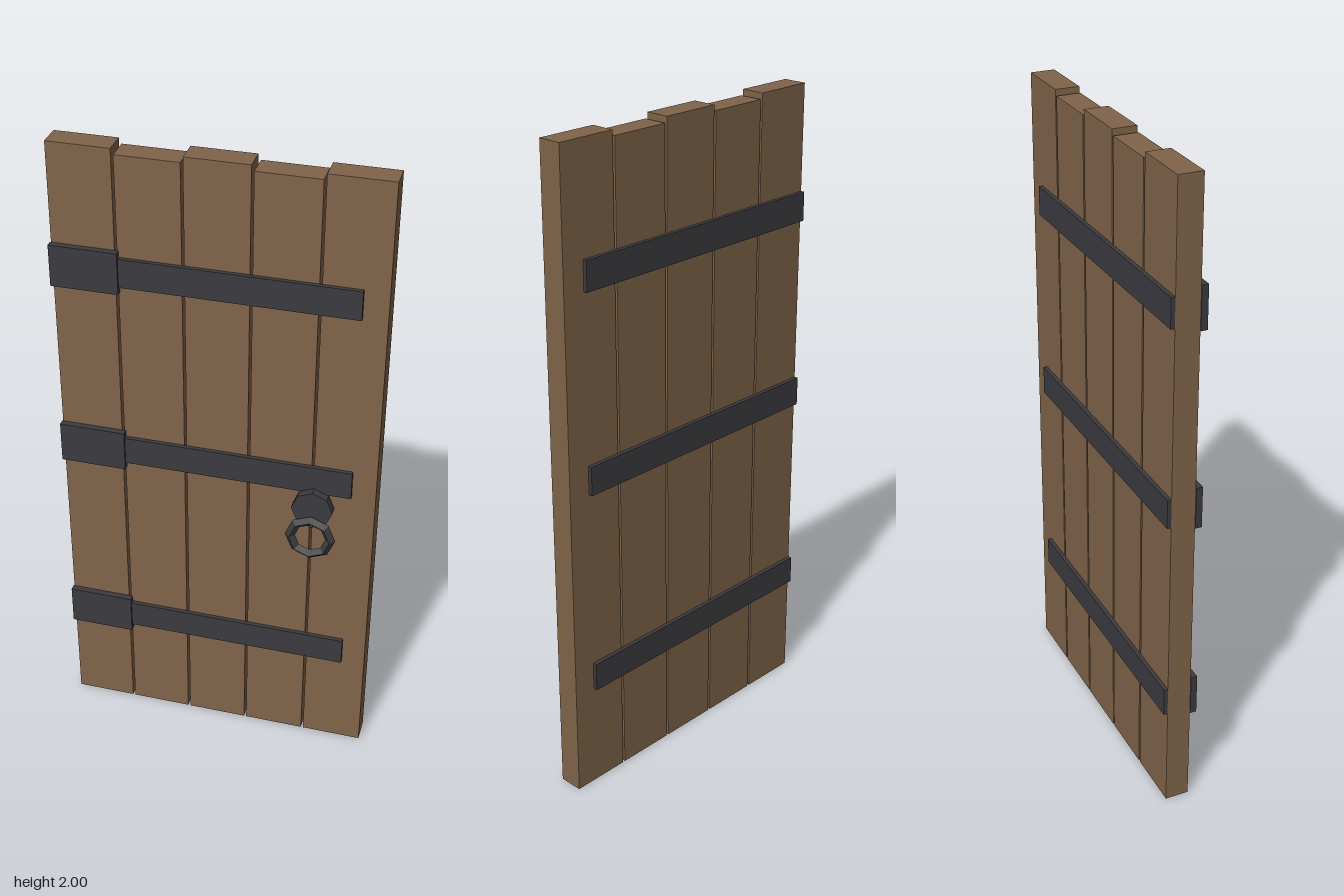
import * as THREE from 'three';

export function createModel() {
  const door = new THREE.Group();
  door.name = 'plankDoor';
  const wood = new THREE.MeshStandardMaterial({ color: 0x80644a, flatShading: true });
  const iron = new THREE.MeshStandardMaterial({ color: 0x3b3b40, flatShading: true });

  const add = (name, geometry, material, x, y, z) => {
    const mesh = new THREE.Mesh(geometry, material);
    mesh.name = name;
    mesh.position.set(x, y, z);
    door.add(mesh);
    return mesh;
  };
  // Box given by its limits on each axis
  const slab = (name, material, [x0, x1], [y0, y1], [z0, z1]) =>
    add(name, new THREE.BoxGeometry(x1 - x0, y1 - y0, z1 - z0), material,
      (x0 + x1) / 2, (y0 + y1) / 2, (z0 + z1) / 2);

  const back = -0.062, front = 0.012;

  // Five upright planks with narrow gaps, every second one slightly shorter
  for (let i = 0; i < 5; i++) {
    const x = (i - 2) * 0.1955;
    slab('plank' + (i + 1), wood, [x - 0.094, x + 0.094], [0, i % 2 ? 1.983 : 2], [back, front]);
  }

  // Iron straps on both faces, with a wider hinge plate at the front
  [0.375, 1.025, 1.63].forEach((y, i) => {
    const band = [y - 0.045, y + 0.045];
    slab('frontStrap' + (i + 1), iron, [-0.485, 0.413], band, [front, 0.025]);
    slab('backStrap' + (i + 1), iron, [-0.485, 0.413], band, [-0.0745, back]);
    slab('hingePlate' + (i + 1), iron, [-0.488, -0.285], [y - 0.065, y + 0.065], [front, 0.032]);
  });

  // Octagonal boss and the pull ring hanging from it
  const boss = new THREE.CylinderGeometry(0.063, 0.063, 0.028, 8).rotateX(Math.PI / 2);
  add('handleBoss', boss, iron, 0.302, 0.934, 0.037);
  add('pullRing', new THREE.TorusGeometry(0.062, 0.0155, 4, 8), iron, 0.302, 0.84, 0.059);

  return door;
}
